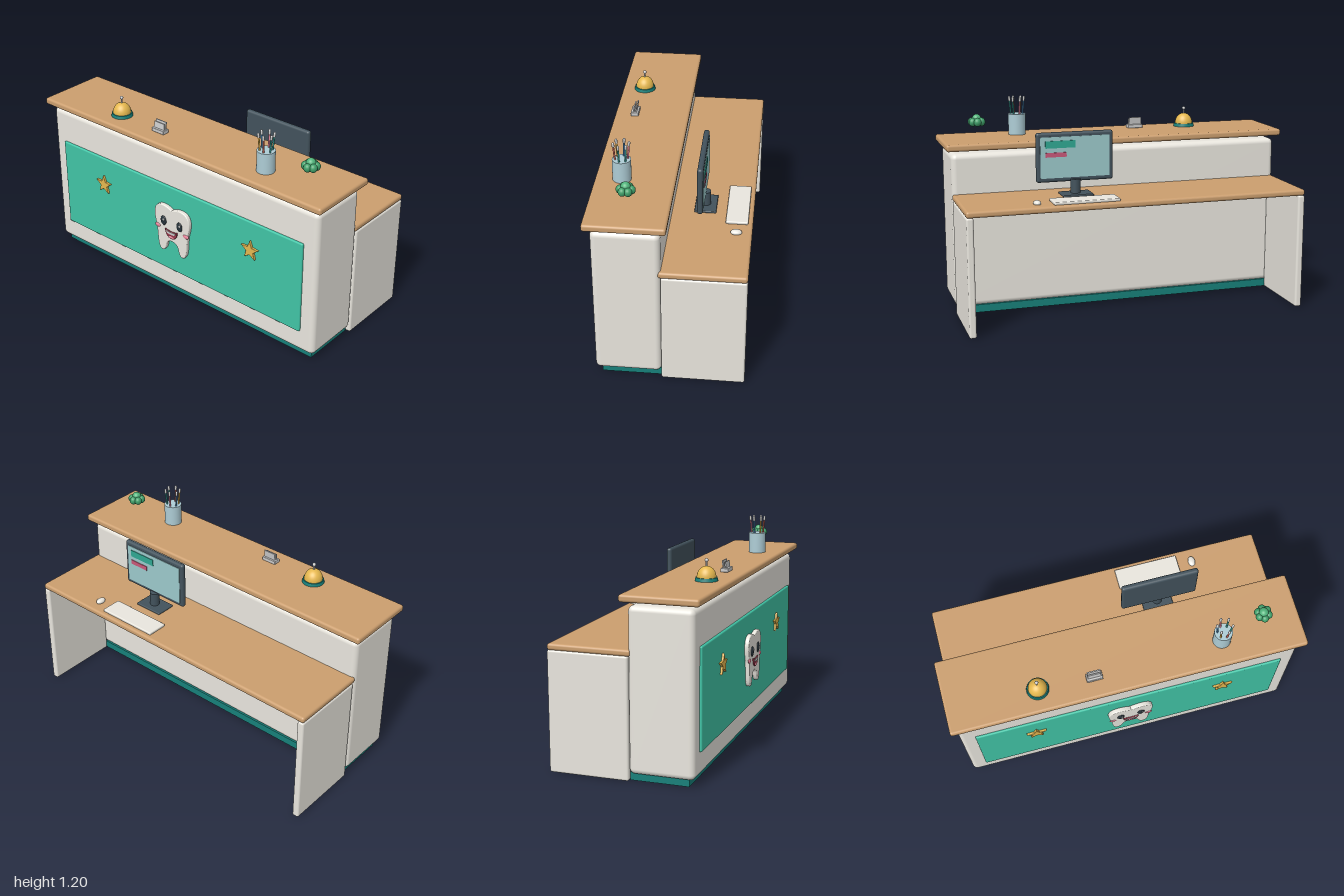
import * as THREE from 'three';
import { RoundedBoxGeometry } from 'three/addons/geometries/RoundedBoxGeometry.js';

const mats = {};
const mat = (color) => (mats[color] ??= new THREE.MeshStandardMaterial({ color }));
const WHITE = 0xe9e6de, WOOD = 0xcb9e6e, TEAL = 0x41c4a6, DEEP_TEAL = 0x17807a,
  DARK = 0x42525c, GOLD = 0xe6b84f, PINK = 0xf08aa0, INK = 0x26323a;

export function createModel() {
  const model = new THREE.Group();

  function add(name, geometry, color, x = 0, y = 0, z = 0, parent = model) {
    const mesh = new THREE.Mesh(geometry, mat(color));
    mesh.name = name;
    mesh.position.set(x, y, z);
    parent.add(mesh);
    return mesh;
  }
  function group(name, x, y, z) {
    const g = new THREE.Group();
    g.name = name;
    g.position.set(x, y, z);
    model.add(g);
    return g;
  }
  // Box given by its limits, rounded when r > 0
  function box(name, color, [x0, x1], [y0, y1], [z0, z1], r = 0) {
    const s = [x1 - x0, y1 - y0, z1 - z0];
    const geo = r ? new RoundedBoxGeometry(...s, 4, r) : new THREE.BoxGeometry(...s);
    return add(name, geo, color, (x0 + x1) / 2, (y0 + y1) / 2, (z0 + z1) / 2);
  }
  // Flat shape with softened edges, total thickness d
  function plate(shape, d, b = 0.004) {
    const geo = new THREE.ExtrudeGeometry(shape, {
      depth: d - 2 * b, bevelEnabled: b > 0, bevelThickness: b, bevelSize: b,
      bevelOffset: -b, bevelSegments: 3, curveSegments: 20,
    });
    return geo.translate(0, 0, b);
  }
  function ball(name, color, [x, y, z], [rx, ry, rz], parent) {
    const mesh = add(name, new THREE.SphereGeometry(1, 24, 16), color, x, y, z, parent);
    mesh.scale.set(rx, ry, rz);
    return mesh;
  }

  // Reception counter
  box('plinth', DEEP_TEAL, [-0.94, 0.94], [0, 0.045], [0.02, 0.34]);
  box('counterBody', WHITE, [-0.97, 0.97], [0.04, 0.92], [0.02, 0.375], 0.03);
  box('counterTop', WOOD, [-1, 1], [0.94, 0.98], [-0.015, 0.41], 0.014);
  box('frontPanel', TEAL, [-0.885, 0.885], [0.17, 0.72], [0.36, 0.388], 0.008);

  // Work desk behind the counter
  box('deskTop', WOOD, [-0.97, 0.97], [0.658, 0.694], [-0.425, 0.035], 0.014);
  for (const s of [-1, 1]) {
    const x = s * 0.95;
    box(s < 0 ? 'rightDeskSide' : 'leftDeskSide', WHITE,
      [x - 0.02, x + 0.02], [0, 0.66], [-0.425, 0.02], 0.012);
  }

  // Smiling tooth emblem
  const emblem = group('toothEmblem', 0, 0, 0.387);
  const tooth = new THREE.Shape();
  tooth.moveTo(0, 0.588);
  tooth.bezierCurveTo(0.04, 0.612, 0.09, 0.612, 0.112, 0.59);
  tooth.bezierCurveTo(0.145, 0.555, 0.127, 0.5, 0.115, 0.455);
  tooth.bezierCurveTo(0.108, 0.4, 0.112, 0.33, 0.088, 0.31);
  tooth.bezierCurveTo(0.062, 0.295, 0.05, 0.325, 0.043, 0.355);
  tooth.bezierCurveTo(0.035, 0.395, -0.035, 0.395, -0.043, 0.355);
  tooth.bezierCurveTo(-0.05, 0.325, -0.062, 0.295, -0.088, 0.31);
  tooth.bezierCurveTo(-0.112, 0.33, -0.108, 0.4, -0.115, 0.455);
  tooth.bezierCurveTo(-0.127, 0.5, -0.145, 0.555, -0.112, 0.59);
  tooth.bezierCurveTo(-0.09, 0.612, -0.04, 0.612, 0, 0.588);
  add('tooth', plate(tooth, 0.026, 0.006), WHITE, 0, 0, 0, emblem);
  for (const s of [-1, 1]) {
    ball('eye', INK, [s * 0.06, 0.506, 0.026], [0.021, 0.03, 0.009], emblem);
    ball('eyeGlint', 0xffffff, [s * 0.06 + 0.007, 0.517, 0.034], [0.007, 0.008, 0.004], emblem);
    ball('cheek', PINK, [s * 0.106, 0.461, 0.024], [0.021, 0.013, 0.007], emblem);
  }
  const mouth = new THREE.Shape();
  mouth.moveTo(-0.046, 0.462);
  mouth.quadraticCurveTo(0, 0.448, 0.046, 0.462);
  mouth.bezierCurveTo(0.042, 0.39, -0.042, 0.39, -0.046, 0.462);
  add('mouth', plate(mouth, 0.009, 0.002), 0xa03a4e, 0, 0, 0.024, emblem);
  const teeth = new THREE.Shape();
  teeth.moveTo(-0.036, 0.457);
  teeth.quadraticCurveTo(0, 0.449, 0.036, 0.457);
  teeth.lineTo(0.03, 0.441);
  teeth.quadraticCurveTo(0, 0.434, -0.03, 0.441);
  add('upperTeeth', plate(teeth, 0.005, 0.001), 0xffffff, 0, 0, 0.031, emblem);
  ball('tongue', PINK, [0, 0.42, 0.032], [0.02, 0.008, 0.004], emblem);

  // Stars on the front panel
  const star = new THREE.Shape(Array.from({ length: 10 }, (_, i) => {
    const r = i % 2 ? 0.026 : 0.06, a = Math.PI / 2 + (i * Math.PI) / 5;
    return new THREE.Vector2(r * Math.cos(a), r * Math.sin(a));
  }));
  for (const s of [-1, 1]) add('star', plate(star, 0.015, 0.003), GOLD, s * 0.55, 0.55, 0.386);

  // Service bell
  const bell = group('bell', -0.49, 0.98, 0.28);
  add('bellBase', new THREE.CylinderGeometry(0.058, 0.062, 0.018, 32), DEEP_TEAL, 0, 0.009, 0, bell);
  const dome = add('bellDome',
    new THREE.SphereGeometry(0.052, 32, 12, 0, Math.PI * 2, 0, Math.PI / 2), GOLD, 0, 0.018, 0, bell);
  dome.scale.y = 1.15;
  add('bellStem', new THREE.CylinderGeometry(0.005, 0.005, 0.03, 12), 0xcccccc, 0, 0.09, 0, bell);
  ball('bellButton', 0xcccccc, [0, 0.108, 0], [0.01, 0.01, 0.01], bell);

  // Card holder with a stack of cards
  const holder = group('cardHolder', -0.18, 0.98, 0.295);
  add('holderBase', new RoundedBoxGeometry(0.09, 0.022, 0.045, 2, 0.004), 0xcccccc, 0, 0.011, 0, holder);
  for (const [z, h] of [[-0.01, 0.05], [0.004, 0.042]]) {
    const card = add('card', new THREE.BoxGeometry(0.074, h, 0.007), 0xcccccc, 0, 0.014 + h / 2, z, holder);
    card.rotation.x = -0.12;
  }

  // Cup of toothbrushes
  const cup = group('brushCup', 0.545, 0.98, 0.267);
  add('cup', new THREE.CylinderGeometry(0.05, 0.05, 0.12, 32), 0xaecdd6, 0, 0.06, 0, cup);
  [0x3aa39a, 0xd8705f, GOLD, 0x4f8fc0, PINK, 0x3aa39a].forEach((color, i) => {
    const a = (i * Math.PI) / 3 + 0.25;
    const brush = new THREE.Group();
    brush.name = 'brush';
    brush.position.set(0.032 * Math.cos(a), 0.1, 0.032 * Math.sin(a));
    brush.rotation.set(0.09 * Math.sin(a), 0, -0.09 * Math.cos(a));
    cup.add(brush);
    add('brushHandle', new THREE.CylinderGeometry(0.005, 0.005, 0.1, 10), color, 0, 0.05, 0, brush);
    add('brushHead', new THREE.CapsuleGeometry(0.007, 0.016, 4, 10), 0xcccccc, 0, 0.106, 0, brush);
  });

  // Cluster of round leaves
  const plant = group('plant', 0.79, 1.07, 0.21);
  ball('topLeaf', 0x4fb37a, [0, 0.018, 0], [0.026, 0.026, 0.026], plant);
  for (let i = 0; i < 6; i++) {
    const a = (i * Math.PI) / 3 + Math.PI / 6;
    ball('leaf', 0x3f9f69, [0.029 * Math.cos(a), 0, 0.029 * Math.sin(a)], [0.022, 0.024, 0.022], plant);
  }

  // Monitor facing the desk side
  box('monitorBase', DARK, [0.22, 0.395], [0.692, 0.704], [-0.22, -0.1], 0.005);
  add('monitorNeck', new THREE.CylinderGeometry(0.027, 0.027, 0.085, 24), DARK, 0.31, 0.74, -0.158);
  box('monitorCase', DARK, [0.09, 0.53], [0.768, 1.046], [-0.157, -0.125], 0.014);
  box('screen', 0x9cc9cb, [0.112, 0.508], [0.792, 1.022], [-0.16, -0.15]);
  box('screenBar', 0x2fa893, [0.31, 0.48], [0.96, 1.0], [-0.164, -0.155]);
  box('screenBar', 0xc9587a, [0.36, 0.48], [0.91, 0.935], [-0.164, -0.155]);

  // Keyboard and mouse
  box('keyboard', WHITE, [0.12, 0.49], [0.692, 0.709], [-0.4, -0.278], 0.006);
  ball('mouse', WHITE, [0.572, 0.7, -0.34], [0.021, 0.015, 0.031]);

  return model;
}
